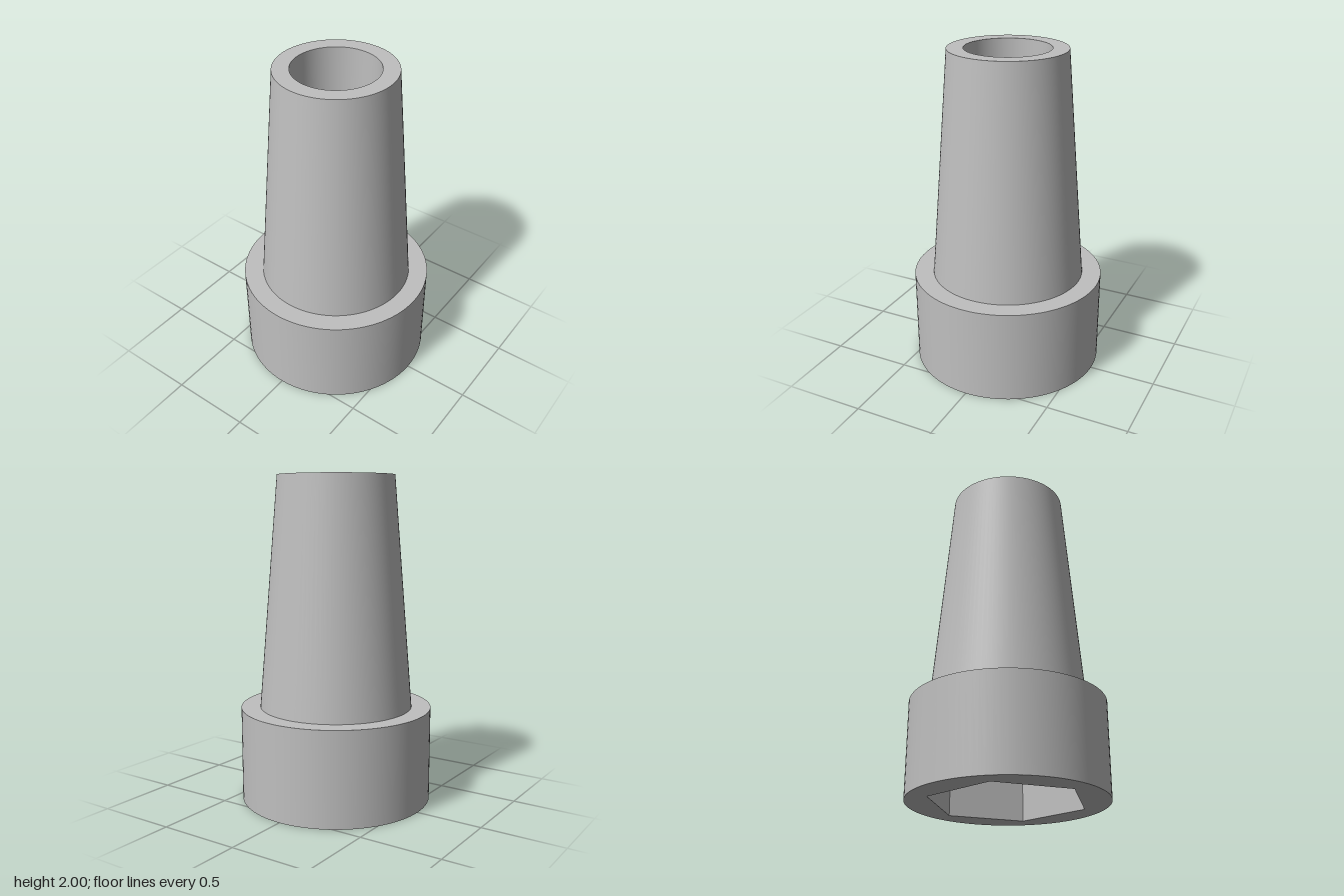
import * as THREE from 'three';
import { mergeGeometries } from 'three/addons/utils/BufferGeometryUtils.js';

const SEGMENTS = 96;
const BASE_R = 0.59, BASE_H = 0.583;
const SHAFT_R = 0.472, TOP_R = 0.355, HEIGHT = 2;
const BORE_R = 0.257, HEX_R = 0.472, HEX_DEPTH = 0.43;

// Turned surface: each profile step is its own lathe, so edges between steps stay sharp
function turned(profile) {
  const bands = [];
  for (let i = 0; i < profile.length - 1; i++) {
    const pair = [profile[i], profile[i + 1]].map(([r, y]) => new THREE.Vector2(r, y));
    bands.push(new THREE.LatheGeometry(pair, SEGMENTS));
  }
  return mergeGeometries(bands);
}

// Regular polygon outline with a corner on the x axis
function polygon(radius, sides, PathType) {
  const points = [];
  for (let i = 0; i < sides; i++) {
    const a = (i / sides) * Math.PI * 2;
    points.push(new THREE.Vector2(radius * Math.cos(a), radius * Math.sin(a)));
  }
  return new PathType(points);
}

// Flat plate with a hole, facing down at height y
function downFace(outer, hole, y) {
  outer.holes.push(hole);
  return new THREE.ShapeGeometry(outer).rotateX(Math.PI / 2).translate(0, y, 0);
}

export function createModel() {
  const model = new THREE.Group();
  const grey = new THREE.MeshStandardMaterial({ color: 0xbfbfbf });
  grey.name = 'grey';

  const add = (name, geometry) => {
    const mesh = new THREE.Mesh(geometry, grey);
    mesh.name = name;
    model.add(mesh);
  };

  // Wide round base with its top ledge
  add('baseCollar', turned([[BASE_R, 0], [BASE_R, BASE_H], [SHAFT_R, BASE_H]]));

  // Tapered shaft, top rim and the straight bore going down
  add('taperedShaft', turned([
    [SHAFT_R, BASE_H], [TOP_R, HEIGHT], [BORE_R, HEIGHT], [BORE_R, HEX_DEPTH],
  ]));

  // Underside of the base around the hexagonal socket
  add('baseUnderside', downFace(
    polygon(BASE_R, SEGMENTS, THREE.Shape), polygon(HEX_R, 6, THREE.Path), 0));

  // Six flat socket walls, facing inward
  const walls = new THREE.LatheGeometry(
    [new THREE.Vector2(HEX_R, HEX_DEPTH), new THREE.Vector2(HEX_R, 0)], 6, Math.PI / 2,
  ).toNonIndexed();
  walls.computeVertexNormals();
  add('hexSocketWalls', walls);

  // Socket ceiling, pierced by the bore
  add('hexSocketCeiling', downFace(
    polygon(HEX_R, 6, THREE.Shape), polygon(BORE_R, SEGMENTS, THREE.Path), HEX_DEPTH));

  return model;
}
